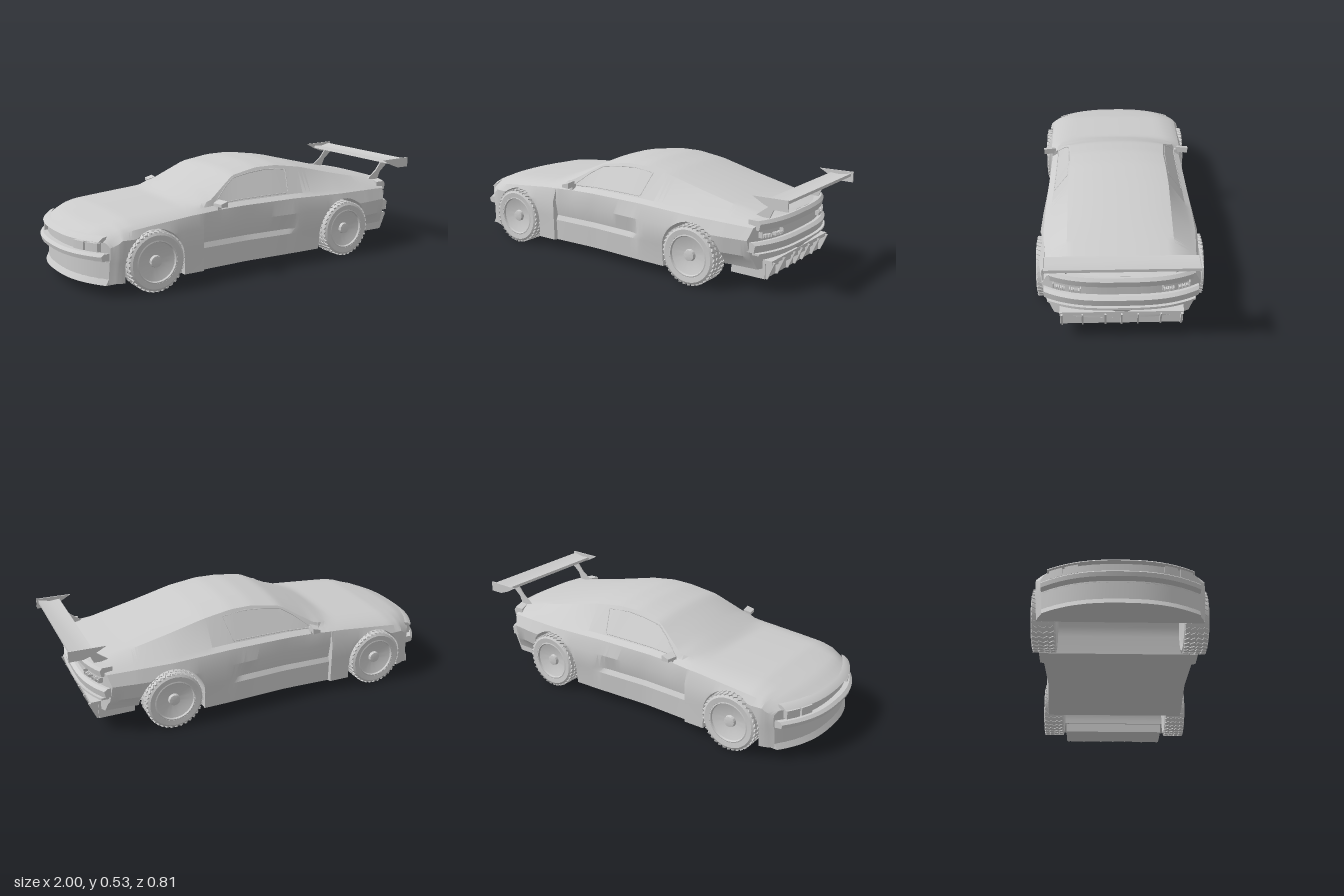
import * as THREE from 'three';
import { mergeGeometries, toCreasedNormals } from 'three/addons/utils/BufferGeometryUtils.js';

const grey = new THREE.MeshStandardMaterial({ color: 0xcccccc });
const { clamp, lerp } = THREE.MathUtils;

// Piecewise linear curve through [x, value] points
const curve = (pts) => (x) => {
  let i = 0;
  while (i < pts.length - 2 && x > pts[i + 1][0]) i++;
  const [a, b] = [pts[i], pts[i + 1]];
  return lerp(a[1], b[1], clamp((x - a[0]) / (b[0] - a[0]), 0, 1));
};

// Lines of the body along its length: heights, half widths, and tucks inward from the widest line
const roofY = curve([[-0.96, 0.282], [-0.88, 0.315], [-0.73, 0.347], [-0.42, 0.371], [-0.25, 0.447], [-0.12, 0.502],
  [0.03, 0.526], [0.15, 0.526], [0.3, 0.503], [0.7, 0.402], [0.89, 0.361]]);
const cornerDrop = curve([[-0.96, 0.006], [-0.42, 0.009], [-0.365, 0.028], [-0.28, 0.046], [-0.12, 0.02], [0.5, 0.018], [0.89, 0.008]]);
const cornerZ = curve([[-0.96, 0.25], [-0.55, 0.27], [-0.42, 0.28], [-0.3, 0.32], [-0.12, 0.252], [0.03, 0.24], [0.3, 0.25]]);
const beltY = curve([[-0.96, 0.258], [-0.73, 0.308], [-0.42, 0.336], [-0.12, 0.346], [0.2, 0.346], [0.89, 0.326]]);
const beltZ = curve([[-0.96, 0.345], [-0.73, 0.367], [-0.365, 0.365], [-0.25, 0.354], [0.3, 0.367], [0.5, 0.37], [0.89, 0.338]]);
const wideZ = curve([[-0.96, 0.36], [-0.88, 0.378], [-0.73, 0.39], [-0.365, 0.385], [-0.36, 0.37], [-0.1, 0.366],
  [0.22, 0.386], [0.5, 0.396], [0.89, 0.365]]);
const doorTuck = curve([[-0.365, 0], [-0.36, 0.014], [0.15, 0.02], [0.22, 0.002], [0.5, 0.002], [0.7, 0.017]]);
const sillTuck = curve([[-0.96, 0.012], [-0.365, 0.003], [-0.36, 0.007], [0.5, 0.021], [0.7, 0.097], [0.89, 0.085]]);
const WHEELS = [[-0.628, 0.155], [0.513, 0.163]];

// Plan-view rounding of the nose and tail
function bend(u, z) {
  const t = Math.abs(z) / 0.38;
  return 0.13 * clamp((-0.79 - u) / 0.17, 0, 1) * t ** 2.5 - 0.09 * clamp((u - 0.69) / 0.2, 0, 1) * t ** 3;
}
const place = (u, y, z) => new THREE.Vector3(u + bend(u, z), y, z);

// Half section [y, z] from the belly centre over the side to the roof centre
function section(u, floor) {
  const top = roofY(u), cy = top - cornerDrop(u), cz = cornerZ(u), by = beltY(u), bz = beltZ(u), wide = wideZ(u);
  const side = [[0.055, wide - sillTuck(u)], [0.165, wide - 0.4 * sillTuck(u)], [0.19, wide - doorTuck(u)],
    [Math.min(0.27, by - 0.02), wide], [by, bz],
    [by + Math.min(0.018, 0.6 * (cy - by)), Math.max(cz, bz - 0.03)], [cy, cz]];
  const zAt = curve(side);
  const flank = side.map(([y, z]) => (y < floor ? [floor, zAt(floor)] : [y, z]));
  const belly = [0, 0.4, 0.75].map((f) => [floor, flank[0][1] * f]);
  const roof = [0.88, 0.65, 0.35, 0].map((f) => [lerp(top, cy, f ** 2.4), cz * f]);
  return [...belly, ...flank, ...roof];
}

function bodyGeometry() {
  const floorAt = (u) => (u < -0.7 ? 0.065 : u > 0.6 ? 0.125 : 0.055);
  const stations = [-0.365, 0.89].map((u) => [u, floorAt(u)]);
  for (let u = -0.96; u < 0.885; u += 0.025) {
    if (!WHEELS.some(([c, r]) => Math.abs(u - c) < r + 0.004)) stations.push([u, floorAt(u)]);
  }
  stations.sort((a, b) => a[0] - b[0]);
  // wheel arches run through the whole width
  for (const [c, r] of WHEELS) {
    const arch = [[c - r, floorAt(c - r)]];
    for (let k = 0; k <= 20; k++) {
      const a = (Math.PI * k) / 20;
      arch.push([c - r * Math.cos(a), 0.147 + r * Math.sin(a)]);
    }
    arch.push([c + r, floorAt(c + r)]);
    stations.splice(stations.findIndex((s) => s[0] > c), 0, ...arch);
  }
  const pos = [];
  const tri = (a, b, c) => {
    const n = b.clone().sub(a).cross(c.clone().sub(a));
    if (n.length() > 1e-9) pos.push(...a, ...b, ...c);
  };
  const quad = (a, b, c, d) => { tri(a, b, c); tri(a, c, d); };
  const halves = stations.map(([u, f]) => section(u, f));
  const rings = halves.map((h, s) => [...h, ...h.slice(1, -1).reverse().map(([y, z]) => [y, -z])]
    .map(([y, z]) => place(stations[s][0], y, z)));
  const n = rings[0].length;
  for (let s = 0; s < rings.length - 1; s++) {
    for (let i = 0; i < n; i++) {
      const j = (i + 1) % n;
      quad(rings[s][i], rings[s + 1][i], rings[s + 1][j], rings[s][j]);
    }
  }
  // nose and tail faces
  for (const s of [0, rings.length - 1]) {
    const h = halves[s], p = (i, t) => place(stations[s][0], h[i][0], h[i][1] * t);
    for (let i = 0; i < h.length - 1; i++) {
      for (let k = -8; k < 8; k++) {
        const q = [p(i, k / 8), p(i, (k + 1) / 8), p(i + 1, (k + 1) / 8), p(i + 1, k / 8)];
        quad(...(s ? q.reverse() : q));
      }
    }
  }
  const g = new THREE.BufferGeometry();
  g.setAttribute('position', new THREE.Float32BufferAttribute(pos, 3));
  return toCreasedNormals(g, 0.42);
}

// Side outline [x, y] extruded from z0 to z1; bent ones follow the nose or tail
function band(outline, z0, z1, bent = true) {
  const shape = new THREE.Shape(outline.map(([x, y]) => new THREE.Vector2(x, y)));
  const g = new THREE.ExtrudeGeometry(shape, { depth: z1 - z0, steps: bent ? 24 : 1, bevelEnabled: false });
  g.translate(0, 0, z0);
  const p = g.attributes.position;
  if (bent) for (let i = 0; i < p.count; i++) p.setX(i, p.getX(i) + bend(Math.sign(p.getX(i)), p.getZ(i)));
  return toCreasedNormals(g, 0.5);
}
const rect = (x0, x1, y0, y1) => [[x0, y0], [x1, y0], [x1, y1], [x0, y1]];

function lathe(points) {
  const g = new THREE.LatheGeometry(points.map(([r, y]) => new THREE.Vector2(r, y)), 48);
  return toCreasedNormals(g.rotateX(Math.PI / 2), 0.6);
}

function wheel() {
  const group = new THREE.Group();
  const add = (name, g) => { const m = new THREE.Mesh(g, grey); m.name = name; group.add(m); };
  add('tyre', lathe([[0.105, -0.052], [0.13, -0.057], [0.141, -0.05], [0.143, 0], [0.141, 0.05], [0.13, 0.057], [0.105, 0.054], [0.1, 0.04]]));
  add('rim', lathe([[0, -0.045], [0.105, -0.052], [0.106, 0.053], [0.099, 0.055], [0.095, 0.046], [0.06, 0.034],
    [0.03, 0.03], [0.027, 0.045], [0.018, 0.047], [0, 0.047]]));
  // chevron tread blocks
  const blocks = [];
  for (let k = 0; k < 36; k++) {
    for (const z of [-0.04, -0.014, 0.014, 0.04]) {
      const b = new THREE.BoxGeometry(0.015, 0.008, 0.024);
      blocks.push(b.rotateY(-0.5 * Math.sign(z)).translate(0, 0.143, z).rotateZ((k * Math.PI) / 18));
    }
  }
  add('tread', mergeGeometries(blocks));
  return group;
}

export function createModel() {
  const car = new THREE.Group();
  car.name = 'sportsCar';
  const add = (name, g) => { const m = new THREE.Mesh(g, grey); m.name = name; car.add(m); };
  add('body', bodyGeometry());

  // nose
  add('frontBumper', band([[-0.995, 0.18], [-0.93, 0.172], [-0.93, 0.212], [-0.985, 0.212], [-1, 0.2]], -0.355, 0.355));
  add('bonnetLip', band([[-0.982, 0.266], [-0.95, 0.258], [-0.94, 0.288], [-0.96, 0.283]], -0.33, 0.33));
  add('chinSpoiler', band([[-0.975, 0.06], [-0.91, 0.06], [-0.91, 0.17], [-0.96, 0.17], [-0.948, 0.11]], -0.35, 0.35));

  // tail
  add('tailLip', band([[0.85, 0.318], [0.905, 0.314], [0.912, 0.345], [0.9, 0.36], [0.85, 0.36]], -0.325, 0.325));
  add('rearBumper', band([[0.86, 0.215], [0.915, 0.215], [0.922, 0.25], [0.905, 0.262], [0.86, 0.262]], -0.355, 0.355));
  add('rearBumperLip', band(rect(0.87, 0.925, 0.2, 0.21), -0.34, 0.34));
  add('diffuser', band(rect(0.685, 0.865, 0.075, 0.165), -0.285, 0.285, false));
  add('diffuserTop', band(rect(0.85, 0.9, 0.15, 0.168), -0.285, 0.285, false));
  for (const z of [-0.275, -0.18, -0.075, 0, 0.075, 0.18, 0.275]) {
    add('diffuserFin', band([[0.85, 0.075], [0.875, 0.075], [0.912, 0.16], [0.85, 0.16]], z - 0.004, z + 0.004, false));
  }
  const fog = new THREE.CylinderGeometry(0.1, 0.03, 0.035, 4).rotateY(Math.PI / 4);
  add('rearFogLamp', toCreasedNormals(fog.scale(0.3, 1, 1).translate(0.89, 0.182, 0), 0.5));

  // rear wing
  add('wingBlade', band([[0.875, 0.455], [0.93, 0.452], [0.99, 0.462], [0.99, 0.476], [0.93, 0.464], [0.88, 0.468]], -0.342, 0.342, false));

  for (const s of [-1, 1]) {
    const pair = (name, outline, z0, z1, bent) => add(name, band(outline, Math.min(s * z0, s * z1), Math.max(s * z0, s * z1), bent));
    pair('wingEndPlate', [[0.82, 0.482], [0.88, 0.45], [0.93, 0.432], [1, 0.432], [1, 0.485]], 0.34, 0.347, false);
    pair('wingSupport', [[0.79, 0.365], [0.86, 0.355], [0.88, 0.4], [0.95, 0.46], [0.89, 0.46], [0.85, 0.41]], 0.246, 0.254, false);
    for (const z of [0.19, 0.26]) pair('headlamp', rect(-0.978, -0.94, 0.217, 0.258), z, z + 0.06);

    // tail lamp rows, with a gap between the two clusters
    const bars = [];
    for (let k = 0; k < 16; k++) {
      if (k === 7 || k === 8) continue;
      const z = s * (0.185 + k * 0.0083), h = k % 15 ? 0.014 : 0.026;
      bars.push(new THREE.BoxGeometry(0.03, h, 0.005).translate(0.895 + bend(0.89, z), 0.278 + h / 2, z));
    }
    add('tailLamp', mergeGeometries(bars));

    // door mirror, tapered towards the front, on its stalk
    const mirror = new THREE.BoxGeometry(0.04, 0.03, 0.066);
    const p = mirror.attributes.position;
    for (let i = 0; i < p.count; i++) if (p.getX(i) < 0) p.setXYZ(i, p.getX(i), p.getY(i) * 0.5 - 0.004, p.getZ(i) * 0.85);
    mirror.computeVertexNormals();
    add('mirror', mirror.rotateY(s * 0.2).translate(-0.265, 0.375, s * 0.372));
    add('mirrorStalk', new THREE.BoxGeometry(0.02, 0.03, 0.03).translate(-0.26, 0.358, s * 0.342));

    // side window trim lying on the cabin flank: [x, height fraction of the glass]
    const corners = [[-0.27, 0.1], [-0.18, 0.85], [-0.12, 0.9], [-0.02, 0.9], [0.08, 0.9], [0.205, 0.88], [0.175, 0.06],
      [0.03, 0.06], [-0.12, 0.06], [-0.27, 0.1]].map(([u, f]) => {
      const [a, b] = section(u, 0.055).slice(8, 10);
      return place(u, lerp(a[0], b[0], f), s * lerp(a[1], b[1], f));
    });
    const path = new THREE.CurvePath();
    for (let i = 1; i < corners.length; i++) path.add(new THREE.LineCurve3(corners[i - 1], corners[i]));
    add('windowTrim', new THREE.TubeGeometry(path, 80, 0.0025, 5));

    for (const [c] of WHEELS) {
      const w = wheel();
      w.name = c < 0 ? 'frontWheel' : 'rearWheel';
      w.position.set(c, 0.1475, s * 0.348);
      if (s < 0) w.rotation.y = Math.PI;
      car.add(w);
    }
  }
  return car;
}
